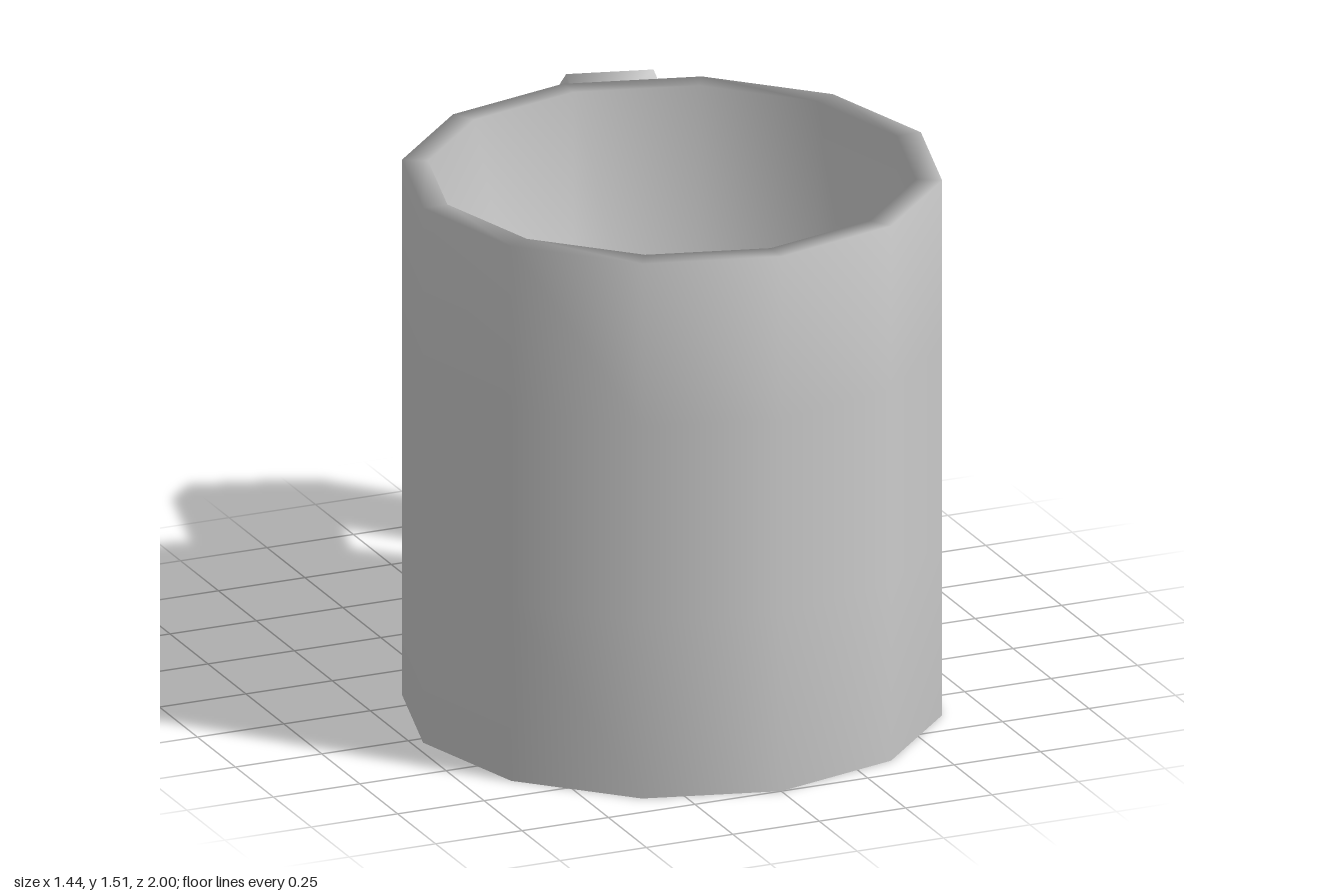
import * as THREE from 'three';

const SIDES = 12, RADIUS = 0.72, HEIGHT = 1.51, CENTRE_Z = 0.28;

// Four-cornered tube swept through [innerR, innerY, outerR, outerY] sections
function sweepHandle(sections, halfWidth) {
  const positions = [], index = [];
  sections.forEach(([ri, yi, ro, yo], s) => {
    positions.push(-halfWidth, yi, -ri, halfWidth, yi, -ri, halfWidth, yo, -ro, -halfWidth, yo, -ro);
    if (s === 0) return;
    for (let k = 0; k < 4; k++) {
      const a = (s - 1) * 4 + k, b = (s - 1) * 4 + (k + 1) % 4;
      index.push(a, a + 4, b, b, a + 4, b + 4);
    }
  });
  const geometry = new THREE.BufferGeometry();
  geometry.setAttribute('position', new THREE.Float32BufferAttribute(positions, 3));
  geometry.setIndex(index);
  geometry.computeVertexNormals();
  return geometry;
}

export function createModel() {
  const group = new THREE.Group();
  group.name = 'mug';
  const material = new THREE.MeshStandardMaterial({ color: 0xcccccc, side: THREE.DoubleSide });

  // Cup: outside wall, rim, inside wall and floor in one turned profile
  const profile = [
    [0, 0], [0.69, 0], [RADIUS, 0], [RADIUS, 0.5], [RADIUS, 1.05], [RADIUS, HEIGHT],
    [0.65, HEIGHT], [0.65, 0.09], [0, 0.09],
  ].map(([r, y]) => new THREE.Vector2(r, y));
  const cup = new THREE.Mesh(new THREE.LatheGeometry(profile, SIDES), material);
  cup.name = 'cup';
  cup.position.z = CENTRE_Z;
  group.add(cup);

  // Handle: upper half of the sections, mirrored for the lower half
  const upper = [
    [0.69, 1.13, 0.69, 1.39],
    [1.088, 1.13, 1.088, 1.39],
    [1.088, 1.13, 1.226, 1.305],
    [1.088, 1.13, 1.293, 1.13],
  ];
  const lower = upper.map(([ri, yi, ro, yo]) => [ri, 1.515 - yi, ro, 1.515 - yo]).reverse();
  const handle = new THREE.Mesh(sweepHandle([...upper, ...lower], 0.117), material);
  handle.name = 'handle';
  handle.position.z = CENTRE_Z;
  handle.rotation.y = -Math.PI / SIDES; // centred on one flat of the cup
  group.add(handle);

  return group;
}
